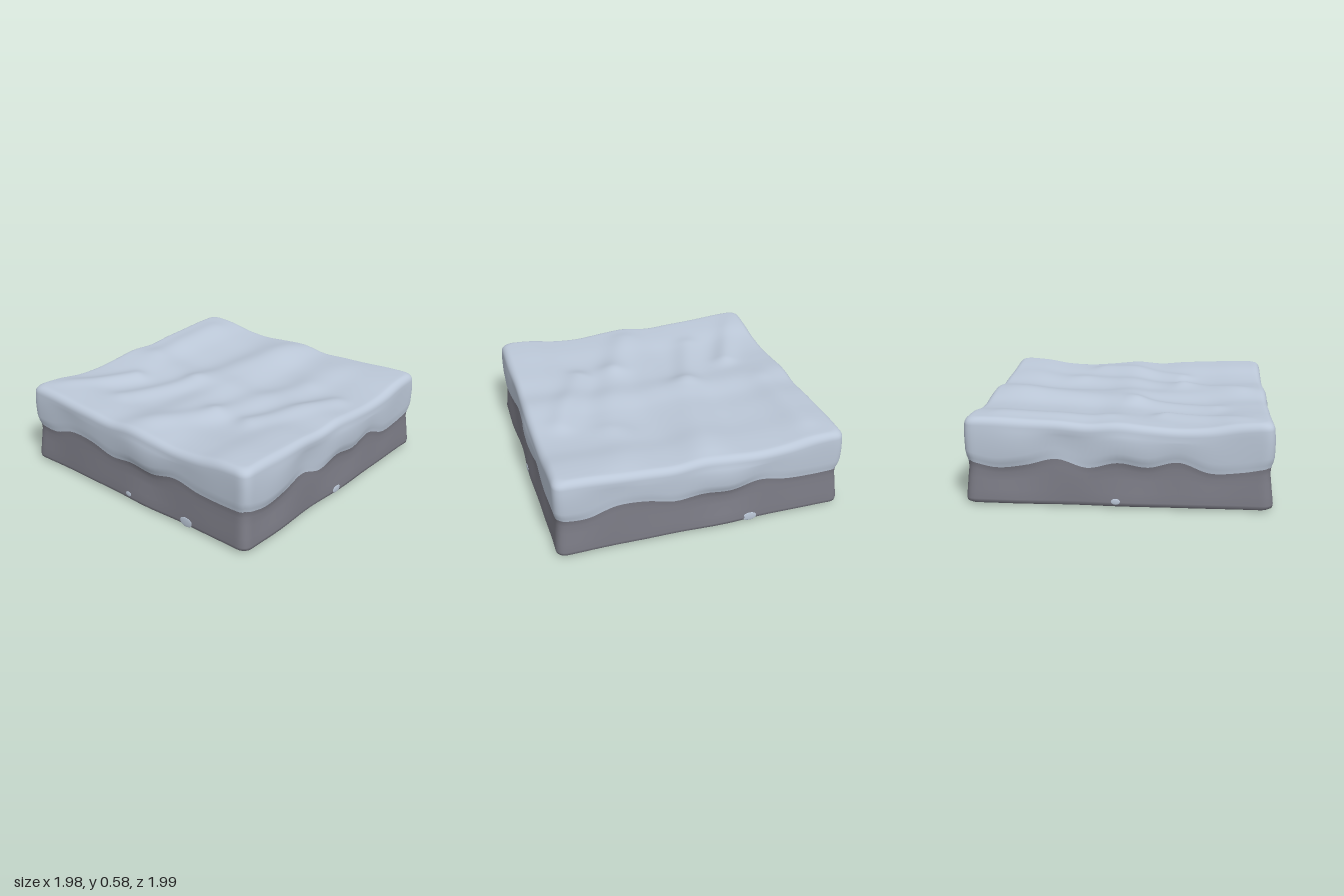
import * as THREE from 'three';
import { mergeVertices } from 'three/addons/utils/BufferGeometryUtils.js';

const N = 60; // segments along each side

// smooth profile through evenly spaced heights, s in -1..1
const profile = (ys) => {
  const c = new THREE.SplineCurve(ys.map((y, i) => new THREE.Vector2(i, y)));
  return (s) => c.getPoint(THREE.MathUtils.clamp((s + 1) / 2, 0, 1)).y;
};
// opposite sides share a profile, turned half round
const snowLine = [
  profile([.28, .268, .322, .314, .27, .289, .275, .313, .282, .275, .28]),
  profile([.285, .248, .27, .312, .258, .296, .27, .308, .242, .25, .28]),
];
const topEdge = [
  profile([.572, .565, .55, .54, .53, .553, .54, .524, .535, .565, .572]),
  profile([.572, .571, .562, .555, .54, .552, .535, .522, .53, .56, .572]),
];
const bulge = [
  (s) => .012 * Math.sin(5 * s + 1) + .006 * Math.sin(11 * s),
  (s) => .012 * Math.sin(6 * s + .3) + .007 * Math.cos(10 * s),
];

// wind-blown drifts: x0, z0, x1, z1, height, half width
const drifts = [
  [-.62, .3, -.88, .85, .035, .08],
  [-.08, -.85, -.2, 0, .03, .13],
  [-.25, .1, -.42, .6, .028, .09],
  [.45, -.35, .25, .35, .025, .12],
  [.22, .4, .05, .8, .025, .1],
  [.78, -.25, .5, .35, .033, .09],
  [-.8, -.75, -.78, -.1, .025, .1],
  [.5, -.85, .42, -.5, .02, .15],
];

function topHeight(x, z) {
  const u = THREE.MathUtils.clamp(x / .93, -1, 1), v = THREE.MathUtils.clamp(z / .93, -1, 1);
  const [f, r] = topEdge;
  let y = (f(u) * (1 + v) + f(-u) * (1 - v) + r(-v) * (1 + u) + r(v) * (1 - u)) / 2 - .572;
  const fade = (1 - u ** 6) * (1 - v ** 6);
  for (const [x0, z0, x1, z1, h, w] of drifts) {
    const dx = x1 - x0, dz = z1 - z0;
    const t = THREE.MathUtils.clamp(((x - x0) * dx + (z - z0) * dz) / (dx * dx + dz * dz), 0, 1);
    const d = Math.hypot(x - x0 - t * dx, z - z0 - t * dz);
    y += fade * h * Math.exp(-((d / w) ** 2));
  }
  return y;
}

// point on a rounded square of half width a
function ringPoint(side, s, a, out) {
  const r = .065 * a;
  const cx = THREE.MathUtils.clamp(s * a, r - a, a - r), cz = a - r;
  const len = Math.hypot(s * a - cx, r) || 1;
  let x = cx + (s * a - cx) / len * r, z = cz + r / len * r + out;
  if (a === 0) x = z = 0;
  for (let k = 0; k < side; k++) [x, z] = [z, -x];
  return [x, z];
}

// cross-sections from underside centre, up the sides, over to top centre:
// [half width, height rule (snow line b, edge e), bulge amount]
const rings = [
  [0, () => 0, 0], [.5, () => 0, 0], [.9, () => 0, 0], [.935, () => .002, 0], [.96, () => .008, .3],
  [.975, () => .02, .5], [.978, () => .04, .5], [.972, () => .1, .3],
  [.964, (b) => b * .65, -.1], [.958, (b) => b * .85, -.1], [.961, (b) => b, .2],
];
const rockRings = rings.length - 1;
rings.push(
  [.97, (b) => b + .03, .6], [.977, (b) => b + .07, 1],
  [.979, (b, e) => (b + e) / 2 + .02, 1], [.977, (b, e) => e - .08, .5],
);
for (let i = 0; i <= 6; i++) {
  const t = i / 6 * Math.PI / 2;
  rings.push([.925 + .05 * Math.cos(t), (b, e) => e - .05 * (1 - Math.sin(t)), .3 * (1 - i / 6)]);
}
for (let i = 1; i <= 40; i++) rings.push([.925 * (1 - i / 40), null, 0]);

function buildBody() {
  const pos = [], index = [], W = 4 * N;
  for (const [a, rule, k] of rings) {
    for (let j = 0; j < W; j++) {
      const side = Math.floor(j / N), t = (j % N) / N * 2 - 1;
      const s = .6 * t + .4 * Math.sin(t * Math.PI / 2);
      const [x, z] = ringPoint(side, s, a, k * bulge[side % 2](s) * (1 - s ** 4));
      const q = .925 / Math.max(a, .925);
      const y = rule ? rule(snowLine[side % 2](s), topHeight(x * q, z * q)) : topHeight(x, z);
      pos.push(x, y, z);
    }
  }
  for (let i = 0; i < rings.length - 1; i++) {
    for (let j = 0; j < W; j++) {
      const a = i * W + j, b = i * W + (j + 1) % W;
      index.push(a, b, b + W, a, b + W, a + W);
    }
  }
  let g = new THREE.BufferGeometry();
  g.setAttribute('position', new THREE.Float32BufferAttribute(pos, 3));
  g.setIndex(index);
  g = mergeVertices(g, 1e-5);
  g.computeVertexNormals();
  return { g, split: rockRings * W * 6 };
}

export function createModel() {
  const snow = new THREE.MeshStandardMaterial({ color: 0xbcc8d8 });
  snow.name = 'snow';
  const rock = new THREE.MeshStandardMaterial({ color: 0x7b7b85 });
  rock.name = 'rock';
  const group = new THREE.Group();
  group.name = 'snowyGroundTile';

  // both parts share normals so the surface stays smooth across the snow line
  const { g, split } = buildBody();
  const all = Array.from(g.index.array);
  const part = (name, tris, material) => {
    const geo = g.clone();
    geo.setIndex(tris);
    const mesh = new THREE.Mesh(geo, material);
    mesh.name = name;
    group.add(mesh);
  };
  part('rockBase', all.slice(0, split), rock);
  part('snowCap', all.slice(split), snow);

  // small snow patches low on the sides: side, position, height, half width, half height
  const patches = [
    [0, -.025, .052, .026, .018], [0, .5, .04, .052, .033], [1, -.01, .042, .042, .024],
    [2, .33, .04, .05, .03], [3, -.01, .045, .03, .02],
  ];
  for (const [side, s, y, w, h] of patches) {
    const out = .5 * bulge[side % 2](s) * (1 - s ** 4);
    const [x, z] = ringPoint(side, s, .977, out);
    const mesh = new THREE.Mesh(new THREE.SphereGeometry(1, 20, 12), snow);
    mesh.name = 'snowPatch';
    mesh.scale.set(w, h, .004);
    mesh.position.set(x, y, z);
    mesh.rotation.y = side * Math.PI / 2;
    group.add(mesh);
  }
  return group;
}
